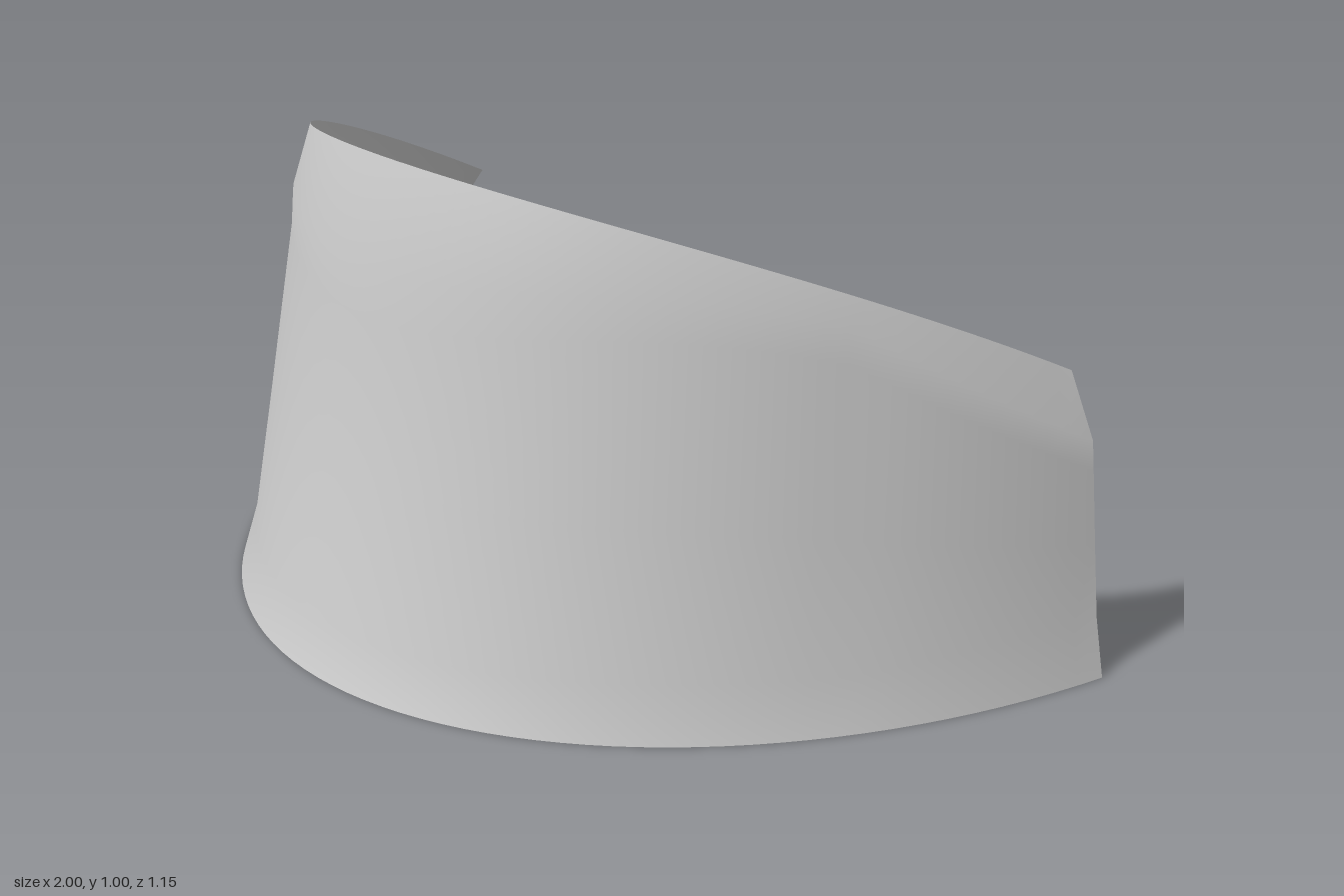
import * as THREE from 'three';

const { lerp, smoothstep } = THREE.MathUtils;

// Elliptic arc seen from above; s runs from -1 (right end) to 1 (left end)
const arc = (radiusX, radiusZ, centreZ, endAngle) => (s) => ({
  x: radiusX * Math.sin(s * endAngle),
  z: centreZ + radiusZ * Math.cos(s * endAngle),
});
const bottomArc = arc(1.032, 1.475, -0.9, 1.321);
const rimArc = arc(0.867, 1.24, -0.85, 1.347);

// Sloping height of the upper rim
const rimHeight = (z) => 0.845 + 0.425 * z - 0.08 * z * z;

// Blend of three keys: front centre, flank and end
const FLANK = 0.7;
function blend([front, flank, end], s) {
  return s < FLANK
    ? lerp(front, flank, smoothstep(s, 0, FLANK))
    : lerp(flank, end, (s - FLANK) / (1 - FLANK));
}

// Rows from base to rim: fraction of height, and fraction of inward lean
const rows = [
  { height: [0, 0, 0], lean: [0, 0, 0] },
  { height: [0.1, 0.13, 0.2], lean: [0.19, 0.19, 0.19] },
  { height: [0.4, 0.45, 0.45], lean: [0.47, 0.44, 0.33] },
  { height: [0.7, 0.85, 0.7], lean: [0.746, 0.75, 0.465] },
  { height: [0.8, 0.93, 0.8], lean: [0.72, 0.84, 0.52] },
  { height: [1, 1, 1], lean: [1, 1, 1] },
];

export function createModel() {
  const group = new THREE.Group();
  group.name = 'curvedShield';
  const grey = new THREE.MeshStandardMaterial({ color: 0xcccccc, side: THREE.DoubleSide });
  grey.name = 'light grey';

  // Wall: a grid bent between the base arc and the rim arc
  const columns = 64;
  const wall = new THREE.PlaneGeometry(1, 1, columns, rows.length - 1);
  const position = wall.attributes.position;
  for (let i = 0; i <= columns; i++) {
    const s = (2 * i) / columns - 1;
    const low = bottomArc(s);
    const high = rimArc(s);
    rows.forEach(({ height, lean }, r) => {
      const g = blend(lean, Math.abs(s));
      const y = blend(height, Math.abs(s)) * rimHeight(high.z);
      const index = (rows.length - 1 - r) * (columns + 1) + i;
      position.setXYZ(index, lerp(low.x, high.x, g), y, lerp(low.z, high.z, g));
    });
  }
  wall.computeVertexNormals();

  const mesh = new THREE.Mesh(wall, grey);
  mesh.name = 'shieldWall';
  group.add(mesh);
  return group;
}
